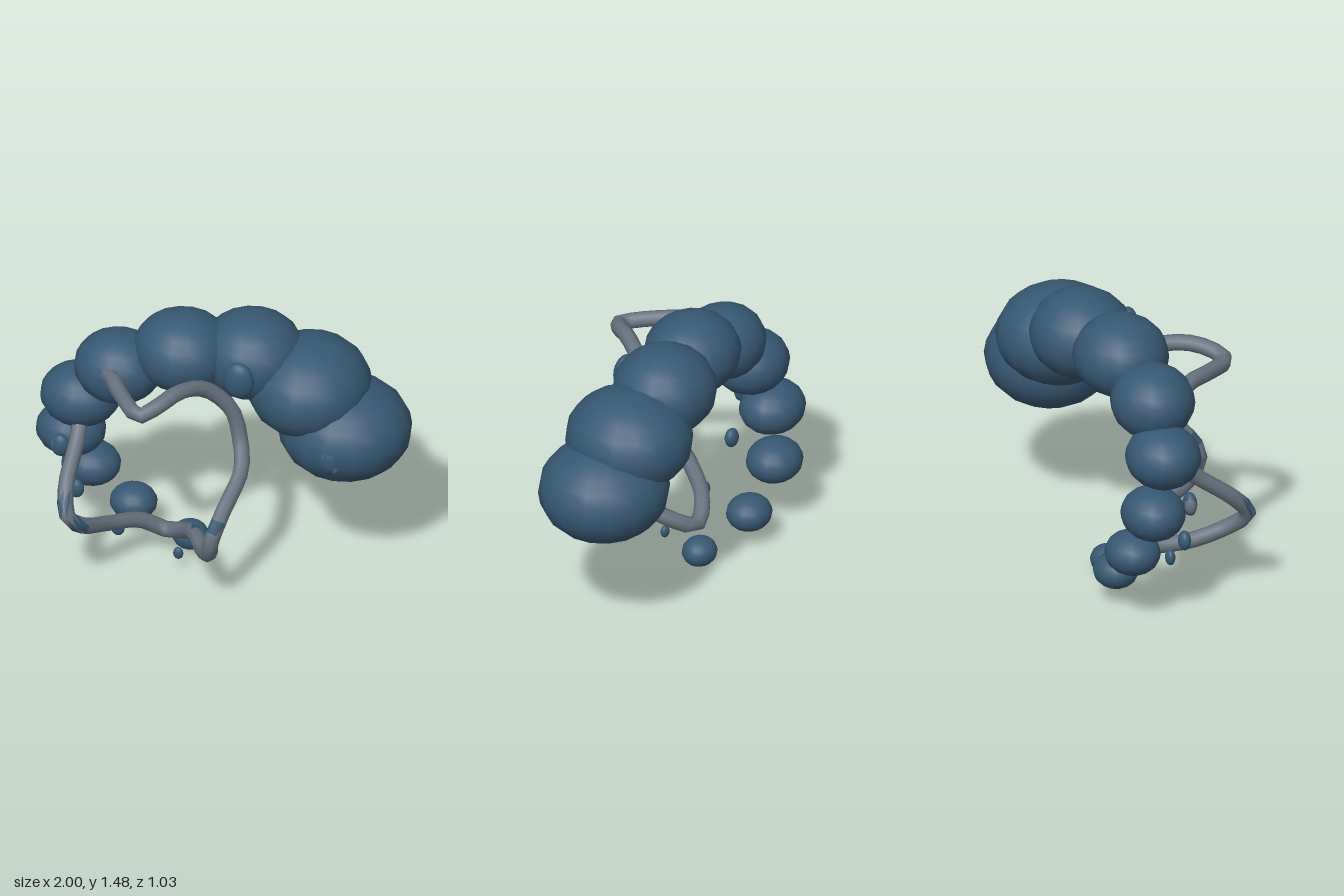
import * as THREE from 'three';

const blue = new THREE.MeshStandardMaterial({ color: 0x365872 });
blue.name = 'deep blue';
const grey = new THREE.MeshStandardMaterial({ color: 0x66727f });
grey.name = 'slate grey';

// Split a geometry's triangles into two colour groups: those near a spot, and the rest
function paintSpots(geometry, spots, radius) {
  const pos = geometry.attributes.position, index = geometry.index.array;
  const base = [], marked = [];
  const centre = new THREE.Vector3(), corner = new THREE.Vector3();
  for (let i = 0; i < index.length; i += 3) {
    const tri = [index[i], index[i + 1], index[i + 2]];
    centre.set(0, 0, 0);
    tri.forEach(v => centre.add(corner.fromBufferAttribute(pos, v)));
    centre.divideScalar(3);
    const near = spots.some(s => centre.distanceTo(new THREE.Vector3(...s)) < radius);
    (near ? marked : base).push(...tri);
  }
  geometry.setIndex([...base, ...marked]);
  geometry.addGroup(0, base.length, 0);
  geometry.addGroup(base.length, marked.length, 1);
  return geometry;
}

function ellipsoid(name, [x, y, z], [rx, ry, rz], spots = []) {
  const geometry = new THREE.SphereGeometry(1, 16, 12);
  geometry.scale(rx, ry, rz).translate(x, y, z);
  paintSpots(geometry, spots, 0.045);
  const mesh = new THREE.Mesh(geometry, [blue, grey]);
  mesh.name = name;
  return mesh;
}

export function createModel() {
  const model = new THREE.Group();
  model.name = 'curledChain';

  // Main curl: ten shrinking lobes, as centre and radii
  const lobes = [
    [[0.645, 0.88, -0.17], [0.35, 0.265, 0.34]],
    [[0.45, 1.1, -0.18], [0.325, 0.262, 0.34]],
    [[0.145, 1.245, -0.17], [0.28, 0.235, 0.272]],
    [[-0.2, 1.265, -0.075], [0.265, 0.215, 0.25]],
    [[-0.53, 1.145, -0.015], [0.235, 0.195, 0.22]],
    [[-0.74, 0.925, -0.03], [0.212, 0.167, 0.197]],
    [[-0.815, 0.645, -0.112], [0.185, 0.14, 0.168]],
    [[-0.73, 0.392, -0.195], [0.157, 0.115, 0.145]],
    [[-0.505, 0.185, -0.208], [0.125, 0.095, 0.118]],
    [[-0.18, 0.08, -0.14], [0.097, 0.079, 0.09]],
  ];
  const chain = new THREE.Group();
  chain.name = 'lobeChain';
  lobes.forEach(([c, r], i) => chain.add(ellipsoid(`lobe${i + 1}`, c, r)));
  model.add(chain);

  // Small beads along the front of the curl
  const beads = [
    [[0.645, 0.86, 0.1], [0.08, 0.1, 0.075], [[0.595, 0.92, 0.14], [0.7, 0.8, 0.13]]],
    [[0.45, 1.11, 0.09], [0.098, 0.115, 0.058], [[0.5, 1.06, 0.14]]],
    [[0.145, 1.24, 0.09], [0.083, 0.105, 0.05], []],
    [[-0.815, 0.665, 0.09], [0.05, 0.065, 0.037], [[-0.87, 0.665, 0.08]]],
    [[-0.73, 0.412, 0.09], [0.043, 0.054, 0.033], []],
    [[-0.505, 0.207, 0.09], [0.036, 0.044, 0.026], []],
    [[-0.18, 0.108, 0.09], [0.027, 0.034, 0.02], []],
  ];
  const beadRow = new THREE.Group();
  beadRow.name = 'beadRow';
  beads.forEach(([c, r, s], i) => beadRow.add(ellipsoid(`bead${i + 1}`, c, r, s)));
  model.add(beadRow);

  // Closed tube weaving in and out of the curl
  const path = [
    [-0.53, 1.2, 0.17], [-0.42, 1.2, 0.33], [-0.28, 1.185, 0.47], [-0.2, 1.22, 0.41],
    [-0.12, 1.24, 0.28], [-0.02, 1.18, 0.13], [0.1, 1.03, 0.06], [0.15, 0.87, 0.08],
    [0.185, 0.75, 0.18], [0.14, 0.6, 0.37], [0.1, 0.46, 0.46], [0.08, 0.36, 0.42],
    [0.02, 0.31, 0.32], [-0.08, 0.28, 0.14], [-0.18, 0.2, 0.01], [-0.28, 0.155, -0.04],
    [-0.4, 0.23, 0.02], [-0.53, 0.3, 0.2], [-0.61, 0.4, 0.4], [-0.67, 0.48, 0.46],
    [-0.705, 0.6, 0.37], [-0.705, 0.78, 0.14], [-0.72, 0.9, 0.03], [-0.66, 1.07, 0.05],
  ].map(p => new THREE.Vector3(...p));
  const curve = new THREE.CatmullRomCurve3(path, true);
  const tubeGeometry = paintSpots(
    new THREE.TubeGeometry(curve, 64, 0.043, 8, true),
    [[-0.61, 0.43, 0.45], [-0.7, 0.55, 0.45], [0.11, 0.55, 0.46], [0.05, 0.42, 0.42], [-0.06, 0.3, 0.12]],
    0.045);
  const tube = new THREE.Mesh(tubeGeometry, [grey, blue]);
  tube.name = 'weavingTube';
  model.add(tube);

  return model;
}
